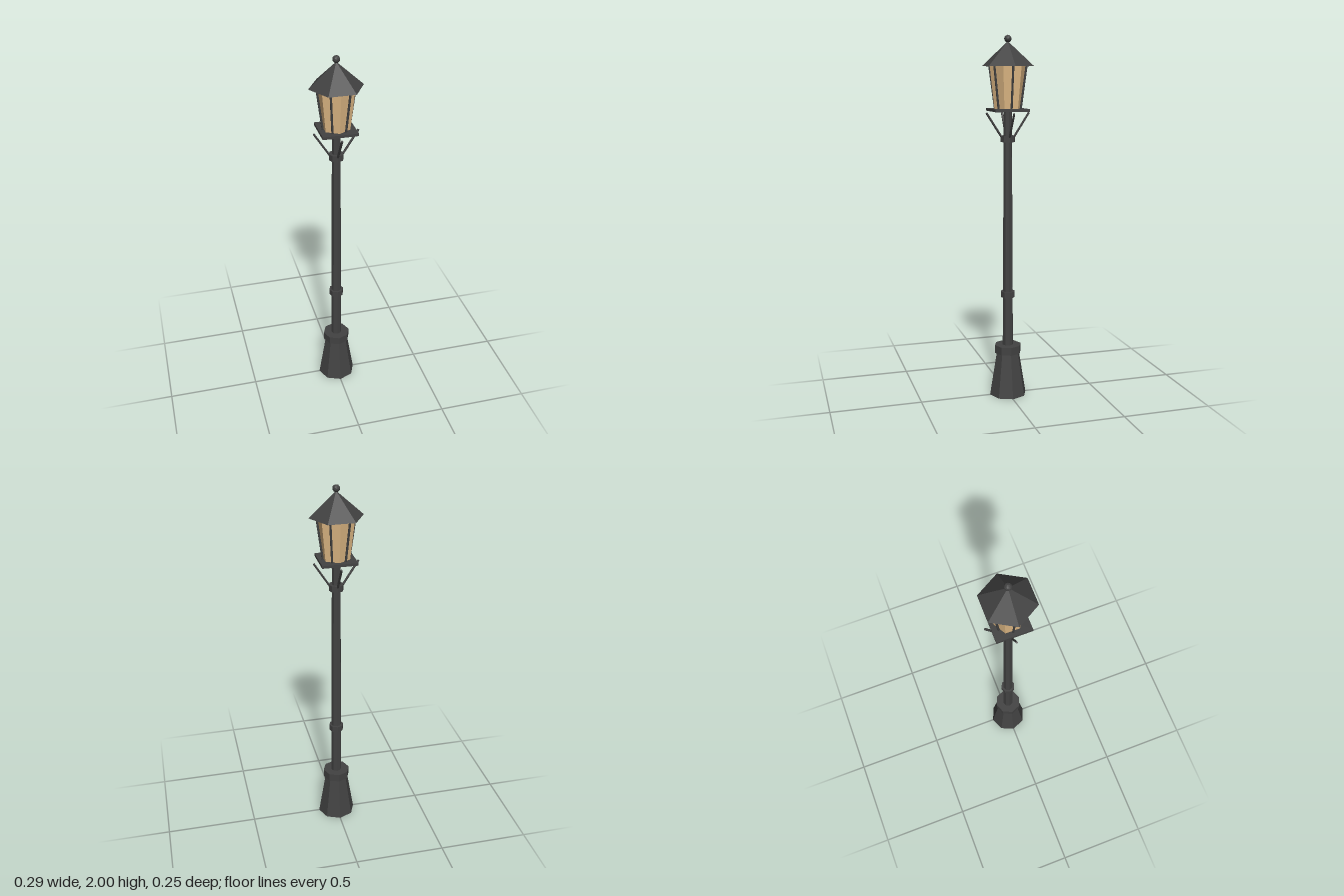
import * as THREE from 'three';

export function createModel() {
  const lamp = new THREE.Group();
  lamp.name = 'streetLamp';

  const iron = new THREE.MeshStandardMaterial({ color: 0x424242, flatShading: true });
  iron.name = 'dark iron';
  const glass = new THREE.MeshStandardMaterial({ color: 0xdfb985, flatShading: true });
  glass.name = 'amber glass';

  const add = (name, geometry, material = iron) => {
    const mesh = new THREE.Mesh(geometry, material);
    mesh.name = name;
    lamp.add(mesh);
    return mesh;
  };

  // Upright prism or frustum between two heights
  const column = (name, rBottom, rTop, y0, y1, sides = 8, material = iron) => {
    const mesh = add(name, new THREE.CylinderGeometry(rTop, rBottom, y1 - y0, sides), material);
    mesh.position.y = (y0 + y1) / 2;
    return mesh;
  };

  // Thin rod between two points
  const rod = (name, a, b, radius) => {
    const dir = b.clone().sub(a);
    const mesh = add(name, new THREE.CylinderGeometry(radius, radius, dir.length(), 6));
    mesh.position.copy(a).add(b).multiplyScalar(0.5);
    mesh.quaternion.setFromUnitVectors(new THREE.Vector3(0, 1, 0), dir.normalize());
    return mesh;
  };

  const polar = (r, y, angle) => new THREE.Vector3(r * Math.cos(angle), y, r * Math.sin(angle));

  // Octagonal foot and tapering post
  column('base', 0.105, 0.065, 0, 0.245);
  column('baseCollar', 0.075, 0.075, 0.245, 0.29);
  column('post', 0.03, 0.023, 0.29, 1.6);
  column('lowerRing', 0.04, 0.04, 0.567, 0.6);
  column('upperRing', 0.04, 0.04, 1.433, 1.467);

  // Four slanted braces on the axes
  for (let i = 0; i < 4; i++) {
    const a = (i * Math.PI) / 2;
    rod('brace', polar(0.032, 1.455, a), polar(0.119, 1.59, a), 0.006);
  }

  // Square tray under the lantern
  add('tray', new THREE.BoxGeometry(0.19, 0.014, 0.19)).position.y = 1.605;

  // Hexagonal glass with a bar in front of each pane
  column('lanternGlass', 0.075, 0.1, 1.612, 1.836, 6, glass);
  for (let i = 0; i < 6; i++) {
    const a = (i * Math.PI) / 3;
    rod('lanternBar', polar(0.071, 1.61, a), polar(0.102, 1.838, a), 0.006);
  }

  // Roof with its corners on the x axis, and the finial
  column('roof', 0.144, 0, 1.836, 1.967, 6).rotation.y = Math.PI / 6;
  add('finial', new THREE.IcosahedronGeometry(0.02, 1)).position.y = 1.98;

  return lamp;
}
